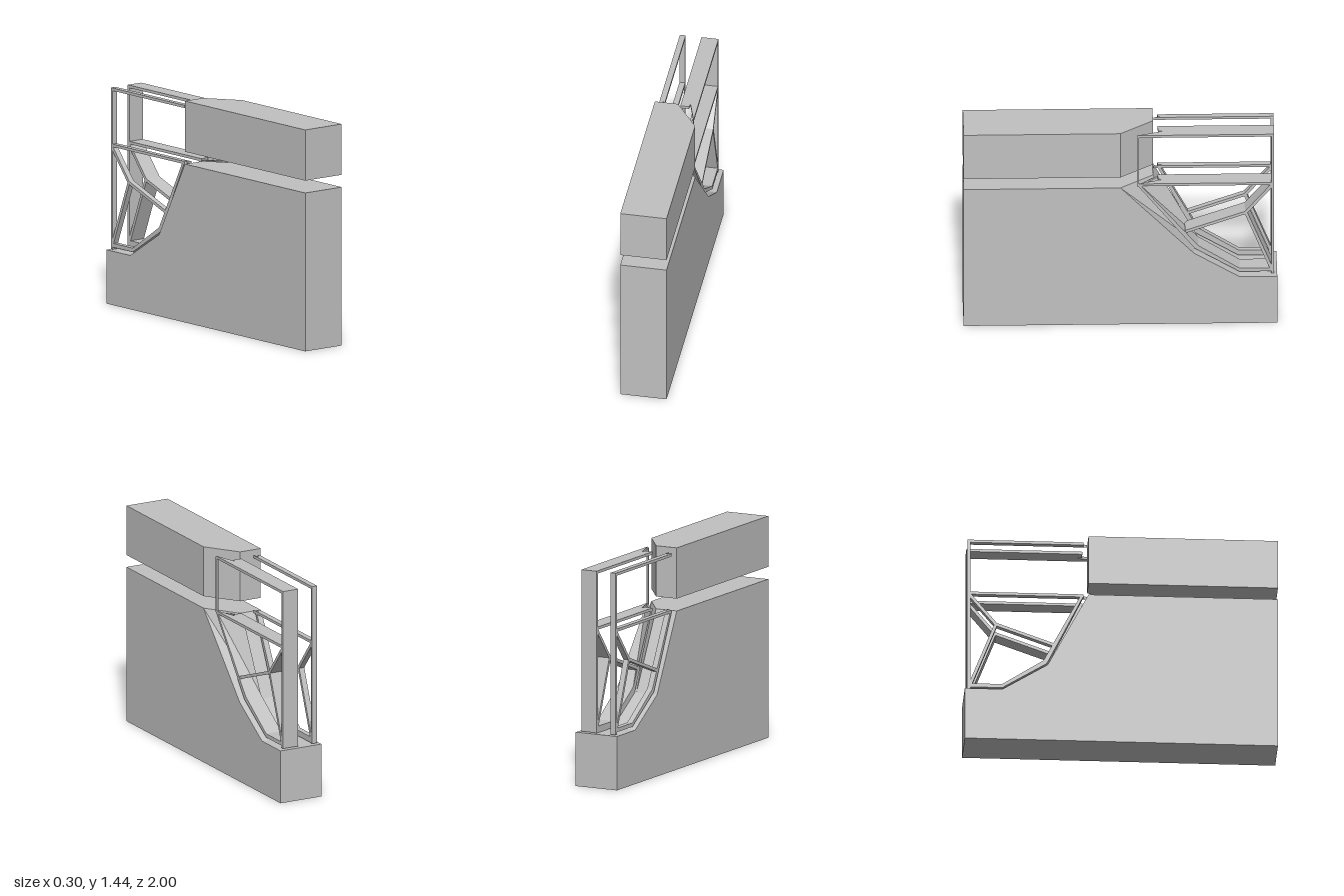
import * as THREE from 'three';

const concrete = new THREE.MeshStandardMaterial({ color: 0xc0c0c0 });
concrete.name = 'concreteGrey';

// Lofts closed [z, y] outlines placed at increasing x; sections = [[x, outline], ...]
function loft(name, sections) {
  const flip = THREE.ShapeUtils.area(sections[0][1].map(([z, y]) => new THREE.Vector2(-z, y))) < 0;
  const rings = sections.map(([x, outline]) => {
    const pts = outline.map(([z, y]) => new THREE.Vector3(x, y, z));
    return flip ? pts.reverse() : pts;
  });
  const verts = [];
  const tri = (...p) => p.forEach((v) => verts.push(v.x, v.y, v.z));
  const n = rings[0].length;
  for (let i = 0; i < rings.length - 1; i++) {
    for (let j = 0; j < n; j++) {
      const k = (j + 1) % n;
      const lo = rings[i], hi = rings[i + 1];
      tri(lo[j], lo[k], hi[k]);
      tri(lo[j], hi[k], hi[j]);
    }
  }
  const cap = (ring, front) => {
    const flat = ring.map((p) => new THREE.Vector2(-p.z, p.y));
    for (const [a, b, c] of THREE.ShapeUtils.triangulateShape(flat, [])) {
      if (front) tri(ring[a], ring[b], ring[c]);
      else tri(ring[a], ring[c], ring[b]);
    }
  };
  cap(rings[0], false);
  cap(rings[rings.length - 1], true);
  const geo = new THREE.BufferGeometry();
  geo.setAttribute('position', new THREE.Float32BufferAttribute(verts, 3));
  geo.computeVertexNormals();
  const mesh = new THREE.Mesh(geo, concrete);
  mesh.name = name;
  return mesh;
}

const rect = (z0, z1, y0, y1) => [[z0, y0], [z1, y0], [z1, y1], [z0, y1]];

// Outline of a straight strut of thickness t between two [z, y] points
function strut([z0, y0], [z1, y1], t) {
  const len = Math.hypot(z1 - z0, y1 - y0);
  const nz = (-(y1 - y0) / len) * t / 2, ny = ((z1 - z0) / len) * t / 2;
  return [[z0 + nz, y0 + ny], [z1 + nz, y1 + ny], [z1 - nz, y1 - ny], [z0 - nz, y0 - ny]];
}

// Open frame between x0 and x1; front(x) gives the front end of its rails,
// slopeTop = z of the sloping bar's top at x0 and x1, lift = rise of the outer underside
function makeFrame(name, x0, x1, railSteps, slopeTop, lift) {
  const g = new THREE.Group();
  g.name = name;
  const bar = (n, a, b = a) => g.add(loft(n, [[x0, a], [x1, b]]));

  // horizontal rails with notched front ends
  for (const [n, y] of [['topRail', 1.387], ['middleRail', 1.022]]) {
    g.add(loft(n, railSteps.map(([x, z]) => [x, rect(-0.98, z, y, y + 0.018)])));
  }
  bar('backPost', rect(-0.98, -0.962, 0.355, 1.4));

  // bottom chain: sloping, lower and foot bars
  const chain = (top, up) => [
    [top, 1.03], [-0.475, 0.53 + up], [-0.76, 0.352 + up], [-0.98, 0.352 + up],
    [-0.98, 0.395], [-0.76, 0.395], [-0.495, 0.57], [top - 0.02, 1.03],
  ];
  bar('bottomChain', chain(slopeTop[0], lift[0]), chain(slopeTop[1], lift[1]));

  // branching web struts
  const hub = [-0.8, 0.815];
  for (const [n, end] of [['webStrutFront', [-0.415, 0.675]], ['webStrutUpper', [-0.968, 1.02]],
    ['webStrutLower', [-0.962, 0.395]]]) {
    bar(n, strut(hub, end, 0.02));
  }
  return g;
}

export function createModel() {
  const model = new THREE.Group();
  model.name = 'wallSection';

  // stepped lower wall whose sloping cut is bevelled on the left half
  const wall = (z) => [[1, 0], [-1, 0], [-1, 0.35], [-0.76, 0.35], [-0.47, 0.53], [z, 1.03], [1, 1.03]];
  model.add(loft('lowerWall', [[-0.15, wall(-0.21)], [0, wall(-0.21)], [0.15, wall(0)]]));

  // floating upper beam with a bevelled back corner
  const beam = (z) => rect(z, 1, 1.11, 1.44);
  model.add(loft('upperBeam', [[-0.15, beam(-0.21)], [0, beam(-0.21)], [0.15, beam(0)]]));

  // wide frame on the left, with a slender front post
  const left = makeFrame('leftFrame', 0.01, 0.12,
    [[0.01, -0.24], [0.065, -0.24], [0.07, -0.27], [0.12, -0.107]], [-0.24, -0.107], [0, 0.018]);
  left.add(loft('frontPost', [[0.108, rect(-0.12, -0.105, 1.03, 1.4)], [0.12, rect(-0.12, -0.105, 1.03, 1.4)]]));
  model.add(left);

  // narrow frame on the right
  model.add(makeFrame('rightFrame', -0.13, -0.093,
    [[-0.13, -0.24], [-0.108, -0.24], [-0.105, -0.27], [-0.093, -0.215]], [-0.24, -0.24], [0.018, 0.005]));

  return model;
}
